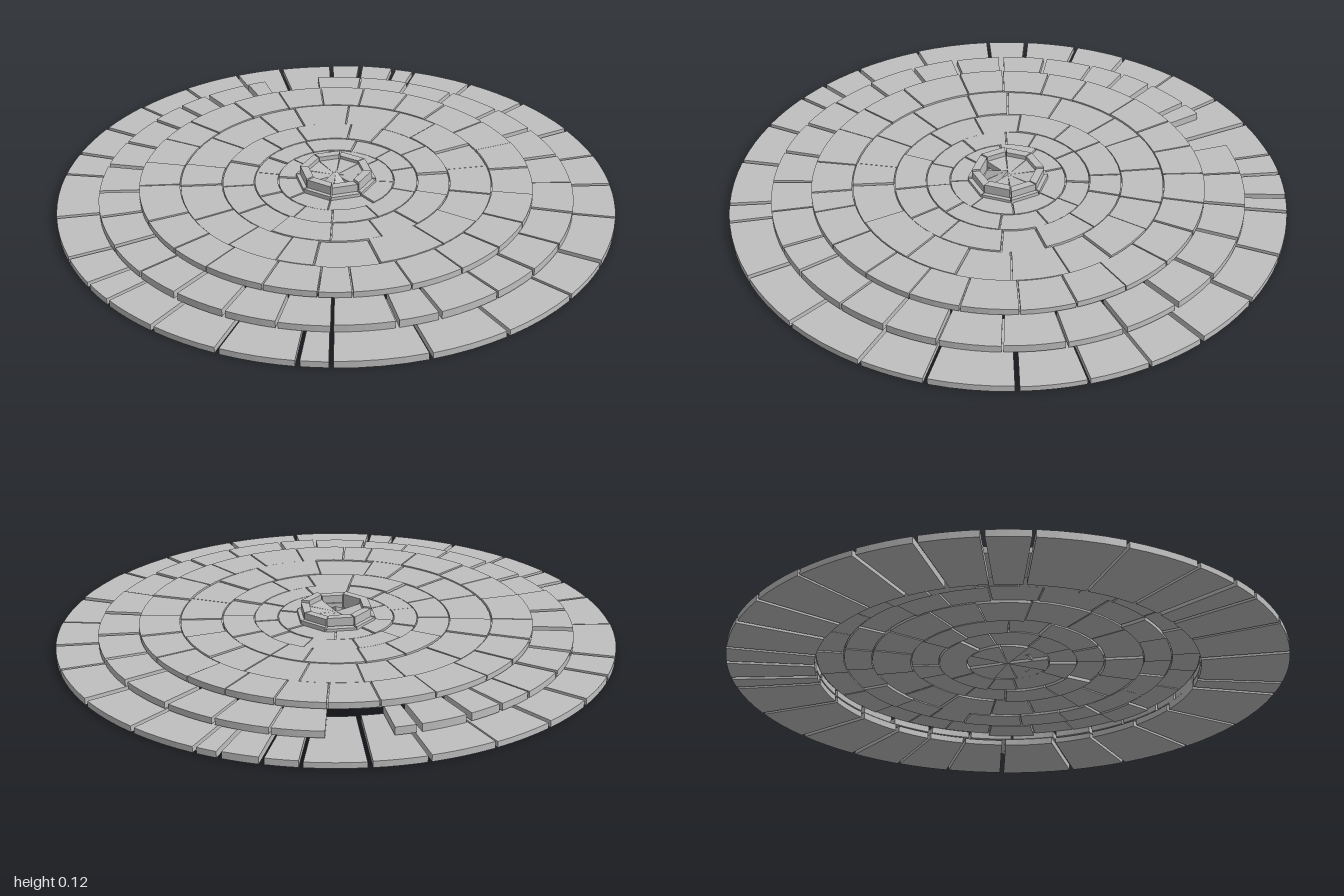
import * as THREE from 'three';
import { mergeGeometries } from 'three/addons/utils/BufferGeometryUtils.js';

const stone = new THREE.MeshStandardMaterial({ color: 0xbfbfbf });
stone.name = 'greyStone';

// small seeded generator for uneven stones
let seed = 7;
const rand = (a = 0, b = 1) => {
  seed = (seed * 16807) % 2147483647;
  return a + (b - a) * (seed / 2147483647);
};
const rad = THREE.MathUtils.degToRad;

// one curved paving block; angles in radians from +x towards +z
function block(r0, r1, a0, a1, bottom, top, gap = 0.006, segments = 4) {
  const shape = new THREE.Shape();
  for (let i = 0; i <= segments; i++) {
    const g = gap / 2 / r1;
    const a = a0 + g + ((a1 - a0 - 2 * g) * i) / segments;
    const p = [r1 * Math.cos(a), r1 * Math.sin(a)];
    i === 0 ? shape.moveTo(...p) : shape.lineTo(...p);
  }
  if (r0 === 0) shape.lineTo(0, 0);
  else {
    for (let i = segments; i >= 0; i--) {
      const g = gap / 2 / r0;
      const a = a0 + g + ((a1 - a0 - 2 * g) * i) / segments;
      shape.lineTo(r0 * Math.cos(a), r0 * Math.sin(a));
    }
  }
  shape.closePath();
  const geo = new THREE.ExtrudeGeometry(shape, { depth: top - bottom, bevelEnabled: false });
  return geo.rotateX(Math.PI / 2).translate(0, top, 0);
}

// ring of blocks split at the given angles (degrees)
function ring(name, joints, make) {
  const parts = [];
  joints.forEach((j, i) => {
    const next = i + 1 < joints.length ? joints[i + 1] : joints[0] + 360;
    const geo = make(rad(j), rad(next), i);
    if (geo) parts.push(geo);
  });
  const mesh = new THREE.Mesh(mergeGeometries(parts), stone);
  mesh.name = name;
  return mesh;
}

// uneven joints around a full turn
function unevenJoints(count) {
  const start = rand(0, 360);
  return Array.from({ length: count }, (_, i) => start + ((i + rand(-0.22, 0.22)) * 360) / count);
}

export function createModel() {
  seed = 7;
  const dais = new THREE.Group();
  dais.name = 'roundStoneDais';

  // lowest step
  const outerJoints = [-175, -158, -149, -137, -125, -112, -99, -88, -76, -69, -61, -56, -42, -27,
    -12, 0, 12, 25, 42, 55, 72, 88, 106, 112, 127, 141, 153, 160, 170];
  dais.add(ring('lowerStep', outerJoints, (a, b) =>
    block(0.69, 1, a, b, rand(0, 0.002), rand(0.021, 0.027), rand(0.006, 0.02))));

  // middle step, with one stone missing at the back
  const middleJoints = [-168, -155, -143, -130, -121, -112, -100, -94, -80, -68, -55, -42, -27, -14,
    0.5, 14, 28, 42, 55, 67, 82, 92, 106, 118, 130, 143, 155, 167, 180];
  dais.add(ring('middleStep', middleJoints, (a, b, i) =>
    i === 7 ? null : block(0.69, 0.85, a, b, 0.027, rand(0.049, 0.056), rand(0.006, 0.022))));

  // paving of the raised floor, in concentric bands
  const bands = [[0.11, 0.21, 8], [0.21, 0.295, 11], [0.295, 0.41, 14], [0.41, 0.56, 18], [0.56, 0.708, 24]];
  bands.forEach(([r0, r1, n], k) => {
    const outer = k === bands.length - 1;
    dais.add(ring('floorBand' + (k + 1), unevenJoints(n), (a, b) =>
      block(r0, r1 - 0.003, a, b, 0.056, rand(outer ? 0.075 : 0.073, 0.08), 0.005)));
  });

  // staggered stones beneath the floor
  const under = [[0, 0.15, 8], [0.15, 0.25, 10], [0.25, 0.35, 12], [0.35, 0.49, 16], [0.49, 0.59, 20], [0.59, 0.69, 24]];
  under.forEach(([r0, r1, n], k) => {
    dais.add(ring('foundationBand' + (k + 1), unevenJoints(n), (a, b) =>
      block(r0, r1 - 0.003, a, b, rand(0.038, 0.05), rand(0.056, 0.066), 0.005)));
  });

  // eight-sided kerb in the centre
  const eight = Array.from({ length: 8 }, (_, i) => 22.5 + i * 45);
  dais.add(ring('kerbBase', eight, (a, b) =>
    block(0.1, 0.145, a, b, 0.07, rand(0.086, 0.093), 0.004, 1)));
  dais.add(ring('kerb', eight, (a, b) =>
    block(0.1, 0.13, a, b, 0.09, rand(0.115, 0.125), 0.004, 1)));

  // tilted wedges inside the kerb; the front ones have sunk at the rim
  dais.add(ring('centreWedges', eight, (a, b, i) => {
    const sunk = i === 1 || i === 2;
    const geo = block(0, 0.1, a, b, 0.07, 0.095, 0.003, 1);
    const pos = geo.attributes.position;
    for (let v = 0; v < pos.count; v++) {
      const t = Math.hypot(pos.getX(v), pos.getZ(v)) / 0.1;
      pos.setY(v, pos.getY(v) + (sunk ? 0.02 - 0.05 * t : 0.01 * t));
    }
    geo.computeVertexNormals();
    return geo;
  }));

  return dais;
}
